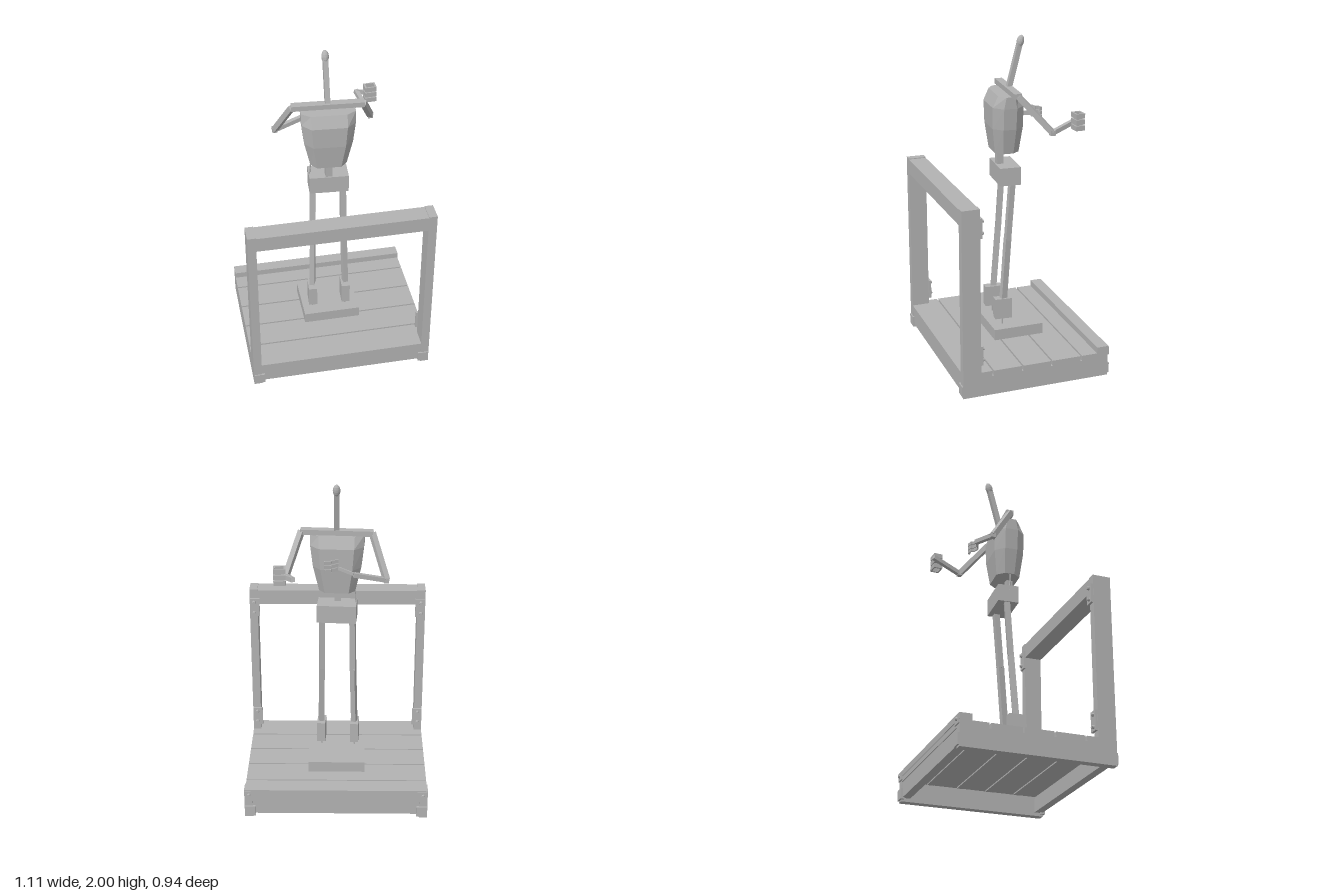
import * as THREE from 'three';

export function createModel() {
  const root = new THREE.Group();
  root.name = 'figureOnPlatform';
  const grey = new THREE.MeshStandardMaterial({ color: 0xb2b2b2, side: THREE.DoubleSide, flatShading: true });
  grey.name = 'plain grey';
  const YAW = -0.07;
  const V = (p) => new THREE.Vector3(...p);

  function add(name, geometry, parent = root) {
    const m = new THREE.Mesh(geometry, grey);
    m.name = name;
    parent.add(m);
    return m;
  }
  // box given by its min/max on each axis
  function box(name, x0, x1, y0, y1, z0, z1, parent = root) {
    const m = add(name, new THREE.BoxGeometry(x1 - x0, y1 - y0, z1 - z0), parent);
    m.position.set((x0 + x1) / 2, (y0 + y1) / 2, (z0 + z1) / 2);
    return m;
  }
  // square bar between two points
  function bar(name, a, b, w, d = w, parent = root) {
    const A = V(a), B = V(b);
    const m = add(name, new THREE.BoxGeometry(w, d, A.distanceTo(B)), parent);
    m.position.copy(A).lerp(B, 0.5);
    m.lookAt(B);
    return m;
  }

  // ---- Platform ----
  const platform = new THREE.Group();
  platform.name = 'platform';
  root.add(platform);
  const seams = [0.46, 0.276, 0.092, -0.092, -0.282, -0.455];
  for (let i = 0; i < 5; i++) {
    const front = i === 0 ? 0 : 0.005, back = i === 4 ? 0 : 0.005;
    box('deckPlank', -0.555, 0.555, 0.12, 0.152, seams[i + 1] + back, seams[i] - front, platform);
    if (i > 0) box('seamStrip', -0.485, 0.485, 0.112, 0.12, seams[i] - 0.02, seams[i] + 0.02, platform);
  }
  for (const s of [-1, 1]) {
    const xa = Math.min(s * 0.505, s * 0.555), xb = Math.max(s * 0.505, s * 0.555);
    box('sideBeam', xa, xb, 0, 0.12, -0.455, 0.46, platform);
  }
  box('frontBeam', -0.505, 0.505, 0.105, 0.12, 0.41, 0.46, platform);
  box('frontBoard', -0.505, 0.505, 0.022, 0.105, 0.405, 0.455, platform);
  box('backBoard', -0.505, 0.505, 0.022, 0.12, -0.45, -0.4, platform);
  box('backLip', -0.555, 0.555, 0.152, 0.19, -0.458, -0.385, platform);

  // ---- Front gate frame ----
  const gate = new THREE.Group();
  gate.name = 'gateFrame';
  root.add(gate);
  box('topRail', -0.505, 0.505, 1.06, 1.152, 0.35, 0.46, gate);
  function bolt(x, y, z, dir) {
    const b = add('bolt', new THREE.CylinderGeometry(0.009, 0.012, 0.014, 8), gate);
    b.rotation.x = dir * Math.PI / 2;
    b.position.set(x, y, z + dir * 0.007);
  }
  for (const s of [-1, 1]) {
    const span = (a, b) => [Math.min(s * a, s * b), Math.max(s * a, s * b)];
    box('post', ...span(0.505, 0.555), 0.152, 1.157, 0.35, 0.46, gate);
    for (const y of [0.255, 1.04]) {
      box('postBracket', ...span(0.492, 0.552), y - 0.06, y + 0.06, 0.336, 0.35, gate);
      bolt(s * 0.527, y - 0.036, 0.336, -1);
      bolt(s * 0.527, y + 0.036, 0.336, -1);
    }
    // corner plates on the base
    box('frontCornerPlate', ...span(0.488, 0.552), 0.012, 0.077, 0.44, 0.467, gate);
    box('backCornerPlate', ...span(0.488, 0.552), 0.012, 0.077, -0.465, -0.44, gate);
    box('lipBracket', ...span(0.492, 0.552), 0.13, 0.182, -0.463, -0.455, gate);
    bolt(s * 0.527, 0.158, -0.459, -1);
  }

  // ---- Pedestal ----
  box('pedestal', -0.175, 0.175, 0.152, 0.22, -0.182, 0.13);

  // ---- Legs ----
  for (const [x, z, kneeX, hipX] of [[-0.112, 0.043, -0.1, -0.095], [0.096, 0.052, 0.092, 0.09]]) {
    const leg = new THREE.Group();
    leg.name = x < 0 ? 'rightLeg' : 'leftLeg';
    root.add(leg);
    const pin = add('anklePin', new THREE.CylinderGeometry(0.005, 0.005, 0.06, 8), leg);
    pin.position.set(x, 0.245, z + 0.004);
    const foot = add('footBlock', new THREE.BoxGeometry(0.052, 0.13, 0.106), leg);
    foot.position.set(x, 0.33, z);
    foot.rotation.y = YAW;
    const knee = [kneeX, 0.78, 0.015 + (z - 0.047) * 0.7];
    bar('shin', [x + 0.002, 0.38, z - 0.003], knee, 0.03, 0.038, leg);
    bar('thigh', [knee[0], 0.77, knee[2]], [hipX, 1.13, -0.01], 0.034, 0.034, leg);
  }

  // ---- Pelvis and waist ----
  const pelvis = add('pelvis', new THREE.BoxGeometry(0.235, 0.11, 0.128));
  pelvis.position.set(-0.002, 1.175, 0);
  pelvis.rotation.y = YAW;
  box('waist', -0.025, 0.015, 1.22, 1.33, 0.016, 0.056);
  bar('sideCable', [-0.117, 1.2, 0.0], [-0.105, 1.34, 0.01], 0.006);

  // ---- Torso: octagonal rings [y, half width, half depth] ----
  const rings = [[1.315, 0.108, 0.073], [1.47, 0.143, 0.092], [1.6, 0.158, 0.094], [1.67, 0.16, 0.062]];
  const pos = [], idx = [];
  for (const [y, a, d] of rings) {
    const cx = a * 0.66, cz = d * 0.42;
    for (const [x, z] of [[cx, d], [a, cz], [a, -cz], [cx, -d], [-cx, -d], [-a, -cz], [-a, cz], [-cx, d]]) pos.push(x, y, z);
  }
  for (let r = 0; r < 3; r++) for (let i = 0; i < 8; i++) {
    const a = r * 8 + i, b = r * 8 + (i + 1) % 8;
    idx.push(a, b, b + 8, a, b + 8, a + 8);
  }
  for (let i = 1; i < 7; i++) idx.push(0, i + 1, i, 24, 24 + i, 25 + i);
  const torsoGeo = new THREE.BufferGeometry();
  torsoGeo.setAttribute('position', new THREE.Float32BufferAttribute(pos, 3));
  torsoGeo.setIndex(idx);
  const flatTorso = torsoGeo.toNonIndexed();
  flatTorso.computeVertexNormals();
  const torso = add('torso', flatTorso);
  torso.position.set(-0.004, 0, 0.01);
  torso.rotation.y = YAW;

  // ---- Shoulders, neck and head ----
  const shoulders = add('shoulderBar', new THREE.BoxGeometry(0.425, 0.032, 0.046));
  shoulders.position.set(0, 1.685, -0.018);
  shoulders.rotation.y = YAW;
  bar('neck', [0, 1.69, -0.022], [0, 1.95, -0.09], 0.03);
  const head = add('head', new THREE.SphereGeometry(0.022, 12, 8));
  head.scale.set(1, 1.75, 1);
  head.position.set(0, 1.962, -0.094);
  head.rotation.x = -0.25;

  // ---- Arms ----
  function arm(name, shoulder, elbow, wrist) {
    const g = new THREE.Group();
    g.name = name;
    root.add(g);
    bar('upperArm', shoulder, elbow, 0.032, 0.032, g);
    bar('forearm', elbow, wrist, 0.026, 0.026, g);
    const joint = add('elbow', new THREE.BoxGeometry(0.03, 0.03, 0.03), g);
    joint.position.set(...elbow);
    return g;
  }
  const rightArm = arm('rightArm', [-0.207, 1.685, -0.03], [-0.29, 1.45, -0.175], [-0.1, 1.497, -0.213]);
  const leftArm = arm('leftArm', [0.207, 1.685, -0.006], [0.292, 1.475, -0.185], [0.243, 1.533, -0.376]);

  // left hand: palm link and three finger loops closed into a fist
  bar('palmLink', [0.245, 1.53, -0.37], [0.29, 1.535, -0.345], 0.008, 0.03, leftArm);
  const loop = new THREE.Shape([[-0.035, -0.028], [0.035, -0.028], [0.035, 0.028], [-0.035, 0.028]].map(p => new THREE.Vector2(...p)));
  loop.holes.push(new THREE.Path([[-0.025, -0.019], [-0.025, 0.019], [0.025, 0.019], [0.025, -0.019]].map(p => new THREE.Vector2(...p))));
  for (let i = 0; i < 3; i++) {
    const f = add('fingerLoop', new THREE.ExtrudeGeometry(loop, { depth: 0.029, bevelEnabled: false }), leftArm);
    f.rotation.set(-Math.PI / 2, 0, 0.05);
    f.position.set(0.32, 1.488 + i * 0.036, -0.332);
  }

  // right hand: palm plate and three half-open fingers
  bar('palmLink', [-0.1, 1.5, -0.213], [-0.005, 1.52, -0.167], 0.007, 0.02, rightArm);
  const bends = [[-0.01, -0.168], [0.03, -0.182], [0.033, -0.197], [0.066, -0.205], [0.068, -0.192]];
  for (let i = 0; i < 3; i++) for (let k = 0; k < 4; k++) {
    const y = 1.512 + i * 0.025;
    bar('finger', [bends[k][0], y, bends[k][1]], [bends[k + 1][0], y, bends[k + 1][1]], 0.007, 0.021, rightArm);
  }
  return root;
}
